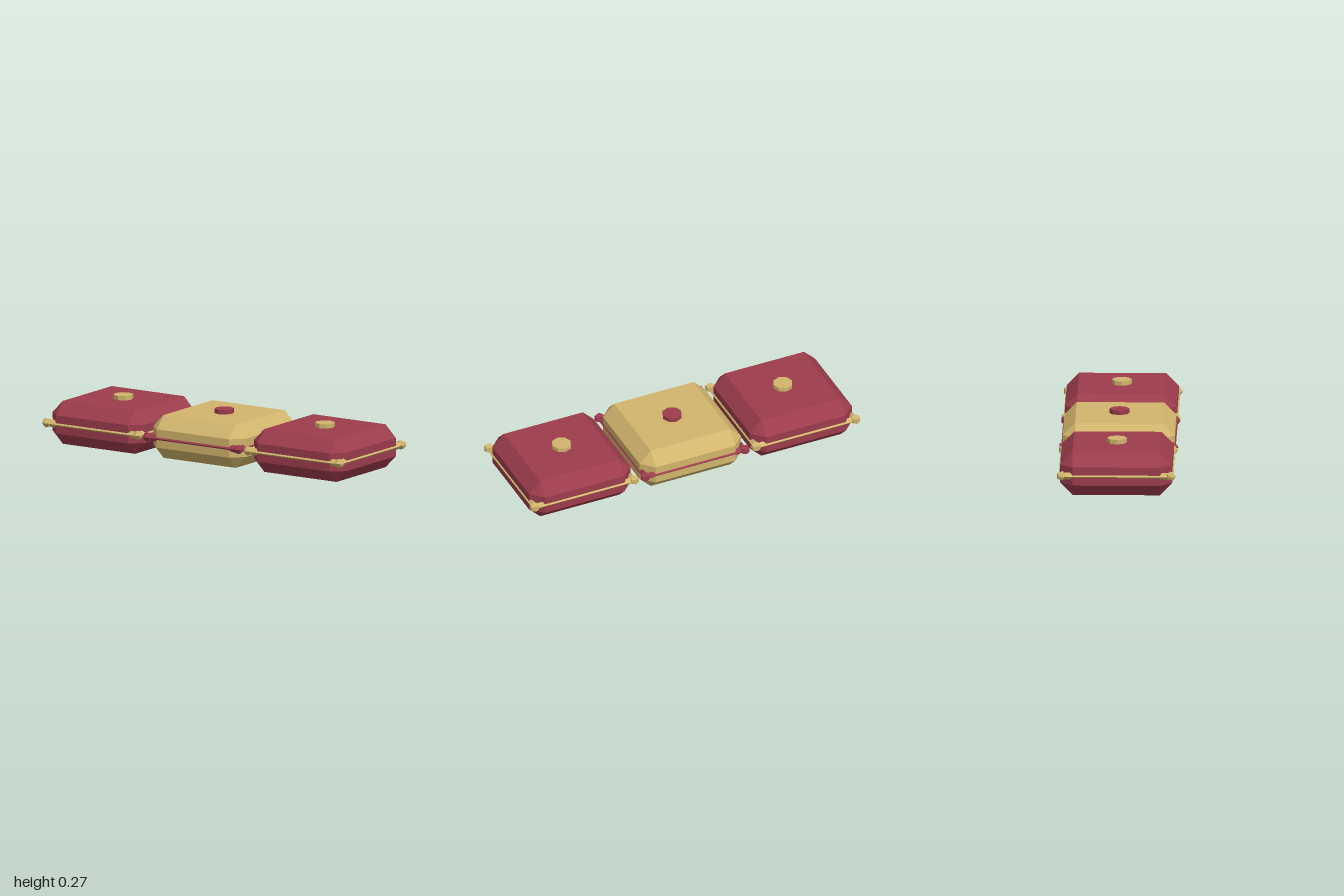
import * as THREE from 'three';
import { ConvexGeometry } from 'three/addons/geometries/ConvexGeometry.js';

const HALF = 0.308, INNER = 0.24, HEIGHT = 0.241, BEVEL = 0.069;
const TRIM_Y = 0.12, TRIM_R = 0.02, TRIM_OFFSET = 0.2955;

function mat(name, color) {
  const m = new THREE.MeshStandardMaterial({ color, flatShading: true });
  m.name = name;
  return m;
}

function add(parent, name, geometry, material, x = 0, y = 0, z = 0) {
  const mesh = new THREE.Mesh(geometry, material);
  mesh.name = name;
  mesh.position.set(x, y, z);
  parent.add(mesh);
  return mesh;
}

// Box with every edge chamfered
function pillowGeometry() {
  const pts = [];
  for (const sx of [-1, 1]) for (const sz of [-1, 1]) {
    for (const y of [0, HEIGHT]) pts.push(new THREE.Vector3(sx * INNER, y, sz * INNER));
    for (const y of [BEVEL, HEIGHT - BEVEL]) {
      pts.push(new THREE.Vector3(sx * HALF, y, sz * INNER));
      pts.push(new THREE.Vector3(sx * INNER, y, sz * HALF));
    }
  }
  return new ConvexGeometry(pts);
}

function cushion(name, x, main, accent) {
  const g = new THREE.Group();
  g.name = name;
  g.position.x = x;

  add(g, 'pillow', pillowGeometry(), main);

  // Button on top
  add(g, 'button', new THREE.CylinderGeometry(0.055, 0.055, 0.034, 8), accent, 0, HEIGHT + 0.007, 0);

  // Diamond-section piping around the middle
  const bar = new THREE.CylinderGeometry(TRIM_R, TRIM_R, TRIM_OFFSET * 2, 4);
  for (const s of [-1, 1]) {
    add(g, 'pipingX', bar, accent, 0, TRIM_Y, s * TRIM_OFFSET).rotation.z = Math.PI / 2;
    add(g, 'pipingZ', bar, accent, s * TRIM_OFFSET, TRIM_Y, 0).rotation.x = Math.PI / 2;
  }

  // Faceted corner beads, pentagonal from the side
  const bead = new THREE.SphereGeometry(0.028, 5, 4);
  bead.rotateY(-Math.PI / 2);
  bead.rotateZ(Math.PI / 2);
  // turn one corner of the pentagon upward
  bead.computeBoundingBox();
  if (bead.boundingBox.max.y < 0.0275) bead.rotateX(Math.PI);
  for (const sx of [-1, 1]) for (const sz of [-1, 1]) {
    add(g, 'cornerBead', bead, accent, sx * 0.302, 0.123, sz * 0.302);
  }
  return g;
}

export function createModel() {
  const model = new THREE.Group();
  model.name = 'cushionRow';
  const red = mat('wineRed', 0x9c3c4c);
  const gold = mat('softGold', 0xd2b56d);
  model.add(cushion('rightCushion', -0.67, red, gold));
  model.add(cushion('middleCushion', 0, gold, red));
  model.add(cushion('leftCushion', 0.67, red, gold));
  return model;
}
